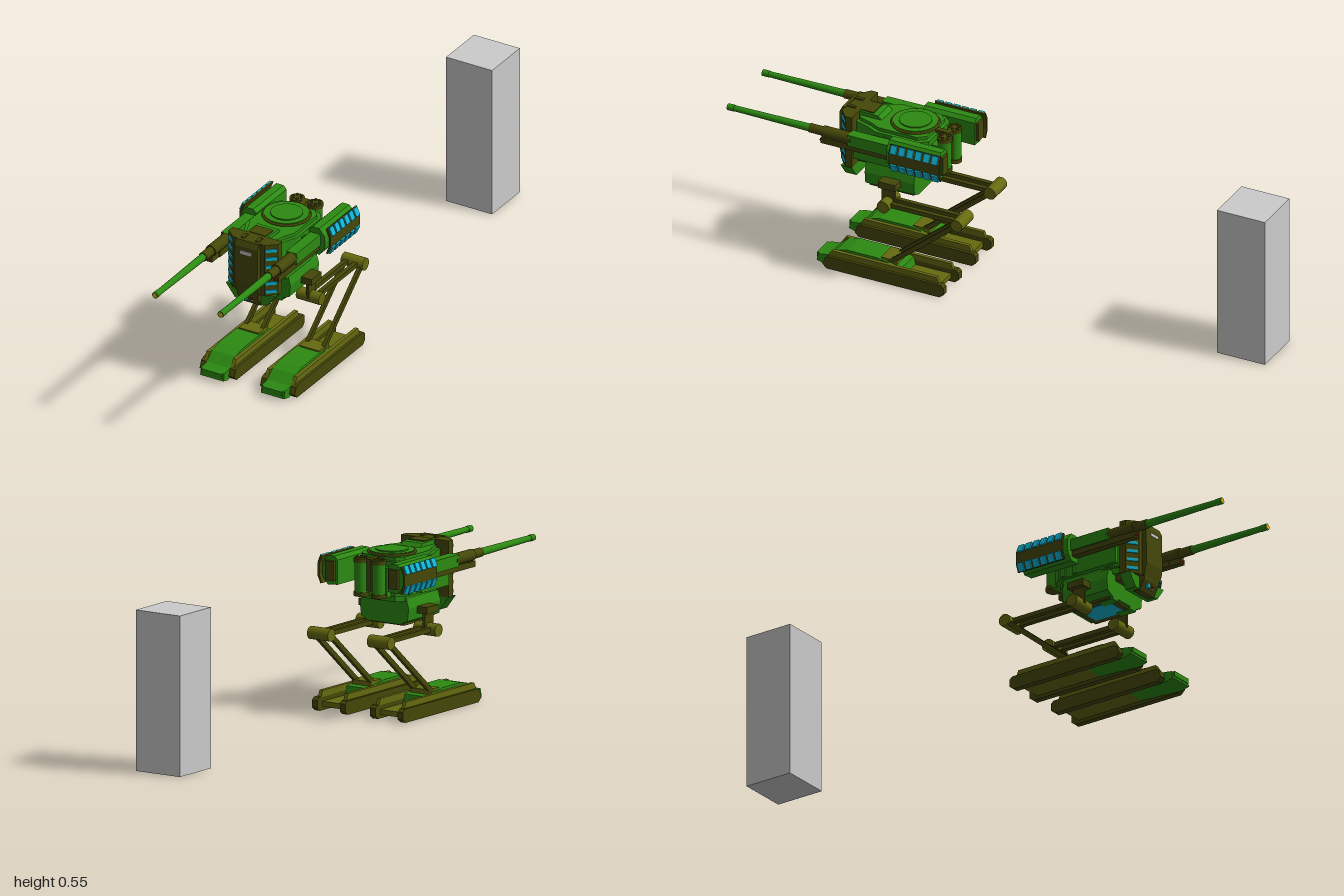
import * as THREE from 'three';

const mat = (color) => new THREE.MeshStandardMaterial({ color });
const M = {
  green: mat(0x2c8a12), dark: mat(0x454808), olive: mat(0x666a10), cyan: mat(0x10b8d8),
  red: mat(0xa01010), yellow: mat(0xe8b010), grey: mat(0xcccccc),
};

// Box given by its min and max along each axis
const box = (x0, x1, y0, y1, z0, z1) =>
  new THREE.BoxGeometry(x1 - x0, y1 - y0, z1 - z0).translate((x0 + x1) / 2, (y0 + y1) / 2, (z0 + z1) / 2);

// Prisms: outline in xy along z, in zy along x, in xz along y
const extrude = (pts, depth) =>
  new THREE.ExtrudeGeometry(new THREE.Shape(pts.map(p => new THREE.Vector2(...p))), { depth, bevelEnabled: false });
const prismZ = (pts, z0, z1) => extrude(pts, z1 - z0).translate(0, 0, z0);
const prismX = (pts, x0, x1) => extrude(pts, x1 - x0).rotateY(-Math.PI / 2).translate(x1, 0, 0);
const prismY = (pts, y0, y1) => extrude(pts, y1 - y0).rotateX(Math.PI / 2).translate(0, y1, 0);

// Cylinders along each axis
const cylX = (r, x0, x1, y, z) =>
  new THREE.CylinderGeometry(r, r, x1 - x0, 20).rotateZ(Math.PI / 2).translate((x0 + x1) / 2, y, z);
const cylY = (r, y0, y1, x, z, n = 20) =>
  new THREE.CylinderGeometry(r, r, y1 - y0, n).translate(x, (y0 + y1) / 2, z);
const cylZ = (r0, r1, z0, z1, x, y) =>
  new THREE.CylinderGeometry(r1, r0, z1 - z0, 20).rotateX(Math.PI / 2).translate(x, y, (z0 + z1) / 2);

// Square bar in a plane of constant x, from (z, y) to (z, y)
function bar(x, w, t, z0, y0, z1, y1) {
  return new THREE.BoxGeometry(w, t, Math.hypot(z1 - z0, y1 - y0))
    .rotateX(-Math.atan2(y1 - y0, z1 - z0)).translate(x, (y0 + y1) / 2, (z0 + z1) / 2);
}

// Mirrored copy across x with the corner order restored
function mirror(geo) {
  const g = geo.index ? geo.toNonIndexed() : geo.clone();
  g.scale(-1, 1, 1);
  for (const key of ['position', 'normal']) {
    const a = g.attributes[key];
    for (let i = 0; i < a.count; i += 3) {
      const b = [a.getX(i + 1), a.getY(i + 1), a.getZ(i + 1)];
      a.setXYZ(i + 1, a.getX(i + 2), a.getY(i + 2), a.getZ(i + 2));
      a.setXYZ(i + 2, ...b);
    }
  }
  return g;
}

export function createModel() {
  const root = new THREE.Group();
  const add = (name, geo, material) => {
    const m = new THREE.Mesh(geo, material);
    m.name = name;
    root.add(m);
  };
  const pair = (name, geo, material) => {
    add(name + 'Left', geo, material);
    add(name + 'Right', mirror(geo), material);
  };

  // Separate grey block behind
  add('referenceBlock', box(-0.09, 0.09, 0, 0.55, -1, -0.82), M.grey);

  // Feet: two rails with chamfered ends and a sloping centre
  const rail = [[0.16, 0.012], [0.175, 0], [0.6, 0], [0.615, 0.015], [0.605, 0.04], [0.59, 0.047], [0.17, 0.047], [0.16, 0.038]];
  const upperRail = [[0.18, 0.045], [0.6, 0.045], [0.585, 0.068], [0.19, 0.068]];
  for (const [x0, x1, u0, u1] of [[0.05, 0.073, 0.06, 0.073], [0.164, 0.186, 0.164, 0.177]]) {
    pair('footRail', prismX(rail, x0, x1), M.dark);
    pair('footUpperRail', prismX(upperRail, u0, u1), M.olive);
  }
  pair('footSole', box(0.072, 0.165, 0.012, 0.03, 0.19, 0.6), M.olive);
  pair('footBody', prismX([[0.32, 0.02], [0.62, 0.002], [0.648, 0.01], [0.642, 0.035], [0.605, 0.04], [0.57, 0.068],
    [0.53, 0.077], [0.42, 0.077], [0.33, 0.06]], 0.073, 0.164), M.green);
  pair('footHatch', box(0.08, 0.157, 0.018, 0.036, 0.6, 0.65), M.green);
  pair('ankle', box(0.08, 0.157, 0.03, 0.08, 0.35, 0.41), M.olive);

  // Legs
  for (const x of [0.087, 0.151]) pair('shin', bar(x, 0.013, 0.017, 0.385, 0.06, 0.125, 0.275), M.dark);
  for (const x of [0.1, 0.137]) pair('thigh', bar(x, 0.016, 0.016, 0.125, 0.278, 0.4, 0.278), M.dark);
  pair('knee', cylX(0.022, 0.08, 0.165, 0.277, 0.122), M.olive);
  pair('hipRoller', cylX(0.022, 0.073, 0.163, 0.276, 0.4), M.olive);
  pair('hipStrut', box(0.115, 0.124, 0.275, 0.34, 0.375, 0.425), M.dark);
  pair('hipBlock', box(0.09, 0.14, 0.333, 0.357, 0.365, 0.43), M.dark);

  // Lower hull
  add('lowerHull', prismZ([[-0.065, 0.298], [0.065, 0.298], [0.095, 0.312], [0.1, 0.355], [0.09, 0.39],
    [-0.09, 0.39], [-0.1, 0.355], [-0.095, 0.312]], 0.315, 0.5), M.green);
  add('bellyPlate', box(-0.07, 0.07, 0.292, 0.3, 0.33, 0.49), M.dark);
  add('bellyLight', box(-0.045, 0.045, 0.29, 0.293, 0.35, 0.47), M.cyan);
  pair('bellySkid', box(0.033, 0.066, 0.289, 0.3, 0.44, 0.5), M.green);

  // Upper hull
  const hullPlan = [[-0.075, 0.27], [0.075, 0.27], [0.1, 0.3], [0.1, 0.46], [0.08, 0.5], [0.06, 0.56],
    [-0.06, 0.56], [-0.08, 0.5], [-0.1, 0.46], [-0.1, 0.3]];
  add('upperHull', prismY(hullPlan, 0.4, 0.52), M.green);
  add('hullDeck', prismY(hullPlan.map(([x, z]) => [x * 0.88, 0.4 + (z - 0.4) * 0.9]), 0.38, 0.532), M.green);
  add('turretDisc', cylY(0.076, 0.53, 0.541, 0, 0.36, 40), M.green);
  add('turretRing', new THREE.TorusGeometry(0.079, 0.005, 6, 40).rotateX(Math.PI / 2).translate(0, 0.535, 0.36), M.dark);
  add('turretCap', cylY(0.055, 0.538, 0.545, 0, 0.36, 32), M.green);
  add('cockpitRoof', prismX([[0.46, 0.525], [0.575, 0.525], [0.565, 0.548], [0.48, 0.545]], -0.04, 0.04), M.green);
  add('roofHatch', box(-0.033, 0.033, 0.546, 0.55, 0.5, 0.55), M.dark);
  pair('sidePanel', box(0.09, 0.106, 0.4, 0.47, 0.38, 0.54), M.green);
  for (const z of [0.31, 0.36, 0.41]) pair('sideRib', box(0.095, 0.104, 0.405, 0.51, z, z + 0.02), M.green);

  // Rear engine and exhaust stacks
  add('rearEngine', box(-0.06, 0.06, 0.4, 0.5, 0.245, 0.29), M.green);
  add('rearSpine', box(-0.01, 0.01, 0.42, 0.53, 0.225, 0.28), M.dark);
  pair('exhaustStack', cylY(0.023, 0.41, 0.522, 0.036, 0.232), M.green);
  for (const y of [0.4, 0.515]) {
    pair('exhaustCollar', cylY(0.026, y, y + 0.014, 0.036, 0.232), M.dark);
  }
  for (let i = 0; i < 6; i++) {
    const a = i * Math.PI / 3;
    pair('exhaustPipe', cylY(0.005, 0.525, 0.534, 0.036 + 0.016 * Math.cos(a), 0.232 + 0.016 * Math.sin(a), 8), M.dark);
  }

  // Front shield with glowing strips on its slanted cheeks
  add('frontShield', prismY([[-0.097, 0.55], [0.097, 0.55], [0.097, 0.575], [0.062, 0.605], [-0.062, 0.605], [-0.097, 0.575]],
    0.355, 0.548), M.dark);
  add('shieldPanel', prismX([[0.6, 0.355], [0.614, 0.355], [0.625, 0.4], [0.622, 0.53], [0.612, 0.55], [0.6, 0.55]],
    -0.045, 0.045), M.dark);
  for (let i = 0; i < 6; i++) {
    const strip = new THREE.BoxGeometry(0.037, 0.011, 0.006).rotateY(Math.atan2(0.03, 0.035));
    pair('shieldLight', strip.translate(0.08, 0.372 + i * 0.031, 0.591), M.cyan);
  }
  pair('shieldLug', box(0.022, 0.034, 0.546, 0.553, 0.57, 0.6), M.dark);
  add('shieldPlate', box(-0.021, 0.021, 0.504, 0.515, 0.62, 0.626), M.grey);

  // Chin with its sensors
  add('chinFairing', prismZ([[-0.062, 0.31], [0.062, 0.31], [0.097, 0.356], [-0.097, 0.356]], 0.55, 0.592), M.green);
  add('chin', prismX([[0.55, 0.355], [0.614, 0.355], [0.612, 0.342], [0.592, 0.306], [0.57, 0.306]], -0.041, 0.041), M.dark);
  add('chinLens', cylZ(0.008, 0.008, 0.59, 0.611, -0.011, 0.327), M.cyan);
  add('chinLamp', cylZ(0.004, 0.004, 0.59, 0.61, 0.013, 0.333), M.red);
  add('chinStud', cylZ(0.003, 0.003, 0.59, 0.606, 0.013, 0.323), M.grey);
  add('neck', box(-0.05, 0.05, 0.36, 0.42, 0.48, 0.56), M.dark);

  // Gun pods
  pair('podArm', cylX(0.025, 0.08, 0.12, 0.48, 0.33), M.dark);
  pair('podBody', prismZ([[0.103, 0.435], [0.143, 0.432], [0.163, 0.455], [0.166, 0.482], [0.163, 0.508], [0.143, 0.532],
    [0.115, 0.532], [0.103, 0.52]], 0.19, 0.385), M.green);
  pair('podRear', box(0.112, 0.148, 0.448, 0.515, 0.18, 0.2), M.dark);
  pair('podShield', prismZ([[0.16, 0.436], [0.166, 0.434], [0.178, 0.462], [0.178, 0.502], [0.166, 0.53], [0.16, 0.528],
    [0.171, 0.5], [0.171, 0.464]], 0.18, 0.37), M.dark);
  for (let i = 0; i < 6; i++) {
    for (const s of [-1, 1]) {
      const pane = new THREE.BoxGeometry(0.009, 0.03, 0.023).rotateZ(s * 0.4);
      pair('podLight', pane.translate(0.173, 0.482 + s * 0.034, 0.198 + i * 0.031), M.cyan);
    }
  }

  // Guns
  const gx = 0.128, gy = 0.49;
  pair('gunReceiver', box(0.108, 0.147, 0.468, 0.51, 0.38, 0.54), M.green);
  pair('gunCradle', box(0.116, 0.141, 0.45, 0.472, 0.38, 0.6), M.dark);
  pair('gunSleeve', cylZ(0.02, 0.02, 0.53, 0.64, gx, gy), M.dark);
  pair('gunSleeveTip', cylZ(0.016, 0.016, 0.64, 0.69, gx, gy), M.dark);
  pair('barrel', cylZ(0.0135, 0.01, 0.68, 0.99, gx, gy), M.green);
  pair('muzzle', cylZ(0.0115, 0.0115, 0.975, 0.999, gx, gy), M.green);
  pair('muzzleCore', cylZ(0.008, 0.008, 0.99, 1, gx, gy), M.yellow);
  pair('sightBox', box(0.119, 0.141, 0.45, 0.47, 0.58, 0.645), M.dark);
  pair('sightLamp', cylZ(0.005, 0.005, 0.64, 0.65, 0.132, 0.459), M.red);

  return root;
}
